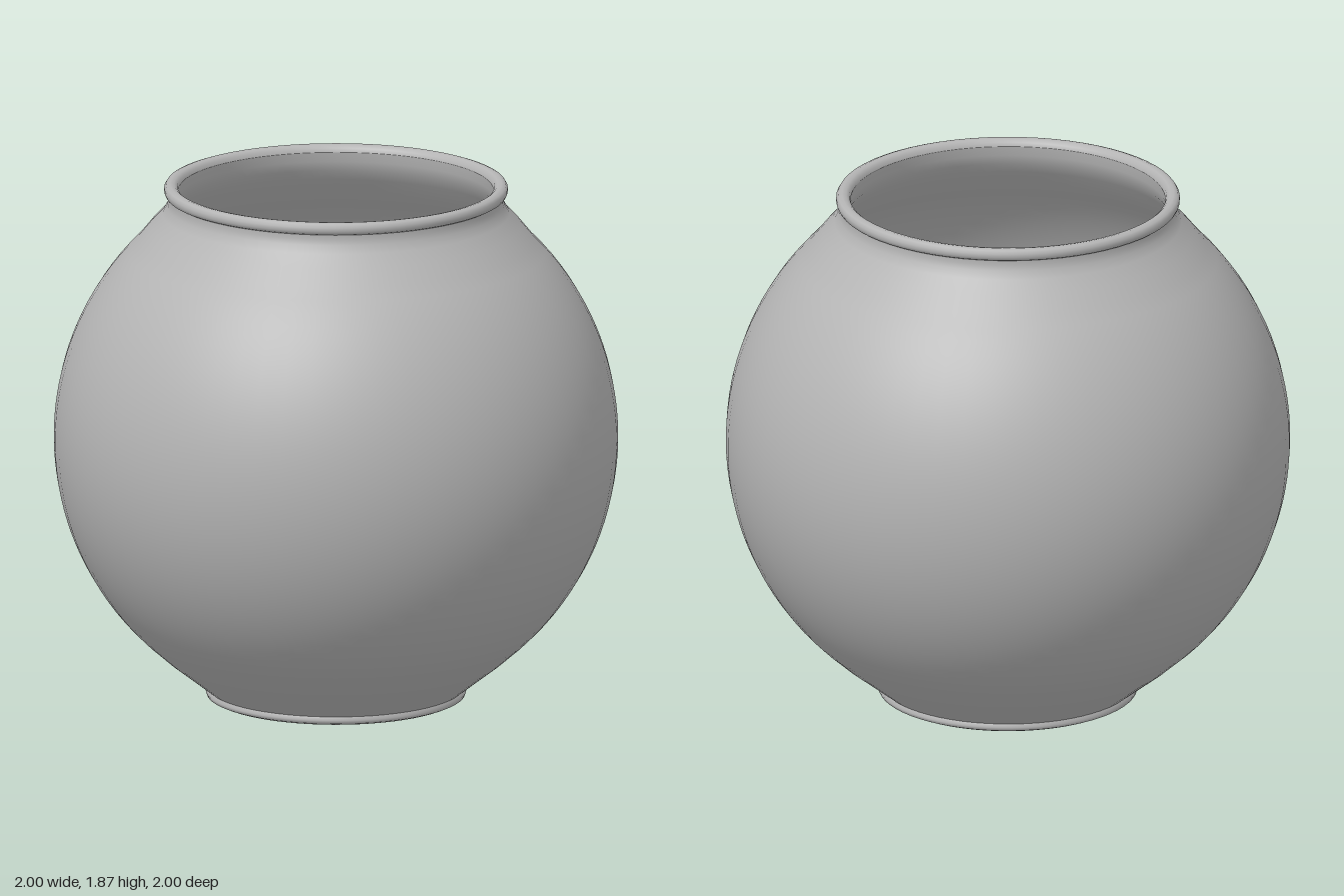
import * as THREE from 'three';

const SEGMENTS = 64;
const BELLY_Y = 0.95;

// Points on a circular arc between two heights, radius r about the belly centre
function arc(r, y0, y1, steps) {
  return Array.from({ length: steps + 1 }, (_, i) => {
    const y = y0 + ((y1 - y0) * i) / steps;
    return [Math.sqrt(r * r - (y - BELLY_Y) ** 2), y];
  });
}

export function createModel() {
  const bowl = new THREE.Group();
  bowl.name = 'roundBowl';

  const grey = new THREE.MeshStandardMaterial({ color: 0xb4b4b4 });
  grey.name = 'plain grey';

  // Turn a profile of [radius, height] pairs around the y axis
  function turn(name, profile) {
    const points = profile.map(([r, y]) => new THREE.Vector2(r, y));
    const mesh = new THREE.Mesh(new THREE.LatheGeometry(points, SEGMENTS), grey);
    mesh.name = name;
    bowl.add(mesh);
  }

  // Flat underside and small rounded foot
  turn('underside', [[0, 0], [0.41, 0]]);
  turn('foot', [[0.41, 0], [0.44, 0.002], [0.458, 0.01], [0.462, 0.022], [0.455, 0.034]]);

  // Outer wall: flared base, round belly and short neck
  turn('outerWall', [
    [0.455, 0.034], [0.52, 0.085], [0.6, 0.147],
    ...arc(1, 0.22, 1.66, 36),
    [0.655, 1.72], [0.615, 1.762], [0.599, 1.79], [0.594, 1.81], [0.594, 1.826],
  ]);

  // Rolled lip around the opening
  turn('rim', [
    [0.594, 1.826], [0.604, 1.831], [0.609, 1.842], [0.609, 1.855], [0.602, 1.866],
    [0.588, 1.871], [0.573, 1.868], [0.562, 1.859], [0.558, 1.845],
  ]);

  // Inner wall, from the neck down to the floor
  turn('innerWall', [
    [0.558, 1.845], [0.562, 1.81], [0.572, 1.775], [0.6, 1.735],
    ...arc(0.97, 1.66, 0.22, 36),
    [0.56, 0.15], [0.41, 0.035],
  ]);
  turn('floor', [[0.41, 0.035], [0, 0.035]]);

  return bowl;
}
